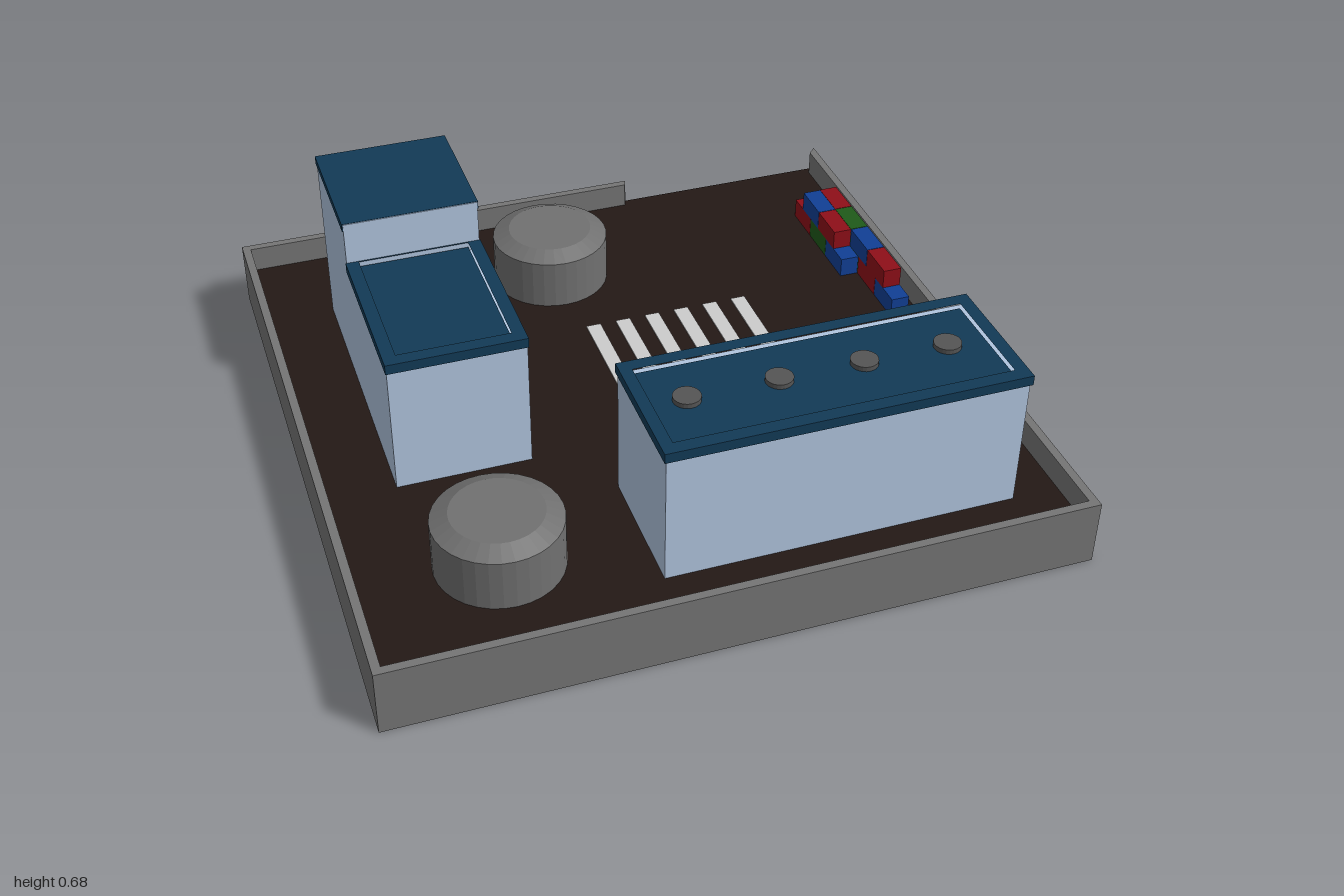
import * as THREE from 'three';

const FLOOR = 0.12, RECESS = 0.02;
const mat = (color, extra = {}) => new THREE.MeshStandardMaterial({ color, flatShading: true, ...extra });
const M = {
  concrete: mat(0x757575), ground: mat(0x231815), wall: mat(0xb0c4de), roof: mat(0x123a56),
  glass: mat(0x0c1040), door: mat(0x303030), tank: mat(0x707070), vent: mat(0x555555), paint: mat(0xcccccc),
  red: mat(0x8f0f18), blue: mat(0x113f95), green: mat(0x1f5a1a),
};

function add(parent, name, geometry, material) {
  const mesh = new THREE.Mesh(geometry, material);
  mesh.name = name;
  parent.add(mesh);
  return mesh;
}

// Box given by its extents on each axis
function box(parent, name, [x0, x1], [y0, y1], [z0, z1], material) {
  const mesh = add(parent, name, new THREE.BoxGeometry(x1 - x0, y1 - y0, z1 - z0), material);
  mesh.position.set((x0 + x1) / 2, (y0 + y1) / 2, (z0 + z1) / 2);
  return mesh;
}

const rectPoints = ([a, b], [c, d]) =>
  [[a, c], [b, c], [b, d], [a, d]].map(p => new THREE.Vector2(...p));

// Plan outline (x, z) raised from y0 to y1
function raise(points, hole, y0, y1) {
  const flip = list => list.map(p => new THREE.Vector2(p.x, -p.y));
  const shape = new THREE.Shape(flip(points));
  if (hole) shape.holes.push(new THREE.Path(flip(hole)));
  return new THREE.ExtrudeGeometry(shape, { depth: y1 - y0, bevelEnabled: false })
    .rotateX(-Math.PI / 2).translate(0, y0, 0);
}

// Pierced wall whose outer face lies on local z = 0, with dark panes set back in it
function facade(parent, name, u, y, openings) {
  const group = new THREE.Group();
  group.name = name;
  const shape = new THREE.Shape(rectPoints(u, y));
  for (const o of openings) shape.holes.push(new THREE.Path(rectPoints(o.u, o.y)));
  add(group, 'piercedWall', new THREE.ExtrudeGeometry(shape, { depth: RECESS, bevelEnabled: false })
    .translate(0, 0, -RECESS), M.wall);
  for (const o of openings)
    box(group, o.name, o.u, o.y, [-RECESS - 0.002, -RECESS + 0.002], o.material);
  parent.add(group);
  return group;
}

const windowAt = (u, y, half = 0.031) =>
  ({ name: 'window', u: [u - half, u + half], y, material: M.glass });

// Three rows of windows in evenly spaced columns
function windowGrid(center, columns) {
  const list = [];
  for (let i = 0; i < columns; i++)
    for (const y of [[0.19, 0.27], [0.34, 0.42], [0.443, 0.47]])
      list.push(windowAt(center + (i - (columns - 1) / 2) * 0.12, y));
  return list;
}

// Flat roof with a raised rim around a sunken panel
function rimmedRoof(parent, x, z, innerX, innerZ) {
  add(parent, 'roofRim', raise(rectPoints(x, z), rectPoints(innerX, innerZ), 0.515, 0.545), M.roof);
  box(parent, 'roofPanel', innerX, [0.515, 0.53], innerZ, M.roof);
}

function createSite(root) {
  box(root, 'baseSlab', [-1, 1], [0, FLOOR - 0.002], [-1, 1], M.concrete);
  const ground = add(root, 'yardGround', new THREE.PlaneGeometry(2, 2).rotateX(-Math.PI / 2), M.ground);
  ground.position.y = FLOOR;
  // Perimeter wall, open along the back right
  const i = 0.975;
  const outline = [[0.305, -1], [-1, -1], [-1, 1], [1, 1], [1, -1], [i, -i], [i, i], [-i, i], [-i, -i], [0.295, -i]]
    .map(p => new THREE.Vector2(...p));
  add(root, 'perimeterWall', raise(outline, null, FLOOR - 0.002, 0.2), M.concrete);
  // Painted ground stripes
  for (let k = 0; k < 6; k++) {
    const x = -0.02 + k * 0.096;
    box(root, 'groundStripe', [x - 0.023, x + 0.023], [FLOOR, FLOOR + 0.004], [-0.33, 0.05], M.paint);
  }
}

function createOffice(root) {
  const g = new THREE.Group();
  g.name = 'officeWithTower';
  const x = [-0.773, -0.38];
  box(g, 'officeBody', [x[0], x[1] - RECESS], [FLOOR, 0.515], [-0.28, 0.235], M.wall);
  const side = facade(g, 'officeWindowWall', [-0.235, 0.28], [FLOOR, 0.515], windowGrid(0.03, 4));
  side.rotation.y = Math.PI / 2;
  side.position.x = x[1];
  rimmedRoof(g, [x[0] - 0.003, x[1] + 0.003], [-0.28, 0.238], [-0.738, -0.415], [-0.275, 0.198]);
  // Tower: its front wall rises to the top of the roof
  box(g, 'towerBody', x, [FLOOR, 0.65], [-0.68, -0.28], M.wall);
  box(g, 'towerRoof', [x[0] - 0.003, x[1] + 0.003], [0.65, 0.675], [-0.683, -0.283], M.roof);
  box(g, 'towerFrontParapet', x, [0.65, 0.674], [-0.283, -0.28], M.wall);
  root.add(g);
}

function createHall(root) {
  const g = new THREE.Group();
  g.name = 'longHall';
  const x = [-0.185, 0.837], z = [0.425, 0.82];
  box(g, 'hallBody', [x[0], x[1] - RECESS], [FLOOR, 0.515], [z[0] + RECESS, z[1]], M.wall);
  const back = facade(g, 'hallWindowWall', [-x[1] + RECESS, -x[0]], [FLOOR, 0.515], windowGrid(-0.326, 8));
  back.rotation.y = Math.PI;
  back.position.z = z[0];
  const end = facade(g, 'hallDoorWall', [-z[1], -z[0]], [FLOOR, 0.515], [
    { name: 'door', u: [-0.69, -0.555], y: [FLOOR + 0.001, 0.35], material: M.door },
    windowAt(-0.743, [0.392, 0.443], 0.027), windowAt(-0.508, [0.392, 0.443], 0.027),
  ]);
  end.rotation.y = Math.PI / 2;
  end.position.x = x[1];
  rimmedRoof(g, [-0.19, 0.845], [0.42, 0.823], [-0.155, 0.807], [0.46, 0.783]);
  for (const vx of [-0.055, 0.205, 0.45, 0.695])
    add(g, 'roofVent', new THREE.CylinderGeometry(0.039, 0.039, 0.025, 24), M.vent).position.set(vx, 0.532, 0.61);
  root.add(g);
}

function createTanks(root) {
  const profile = [[0.181, FLOOR], [0.181, 0.275], [0.13, 0.3], [0, 0.3]].map(p => new THREE.Vector2(...p));
  for (const [x, z] of [[-0.064, -0.65], [-0.58, 0.618]])
    add(root, 'storageTank', new THREE.LatheGeometry(profile, 32), M.tank).position.set(x, 0, z);
}

function createContainers(root) {
  const g = new THREE.Group();
  g.name = 'containerStacks';
  const L = 0.129, H = 0.0625, W = 0.058;
  // Rows run backwards from their front end: [x, layer, front z, colours]
  const rows = [
    [0.881, 0, -0.085, ['blue', 'red', 'green', 'red', 'green']],
    [0.881, 1, -0.155, ['red', 'blue', 'green', 'red']],
    [0.822, 0, -0.343, ['blue', 'green', 'red']],
    [0.822, 1, -0.411, ['red', 'blue']],
  ];
  for (const [x, layer, front, colors] of rows)
    colors.forEach((c, k) => {
      const z = front - k * L, y = FLOOR + layer * H;
      box(g, 'container', [x, x + W], [y, y + H], [z - L + 0.002, z], M[c]);
    });
  root.add(g);
}

export function createModel() {
  const root = new THREE.Group();
  root.name = 'industrialYard';
  createSite(root);
  createOffice(root);
  createHall(root);
  createTanks(root);
  createContainers(root);
  return root;
}
